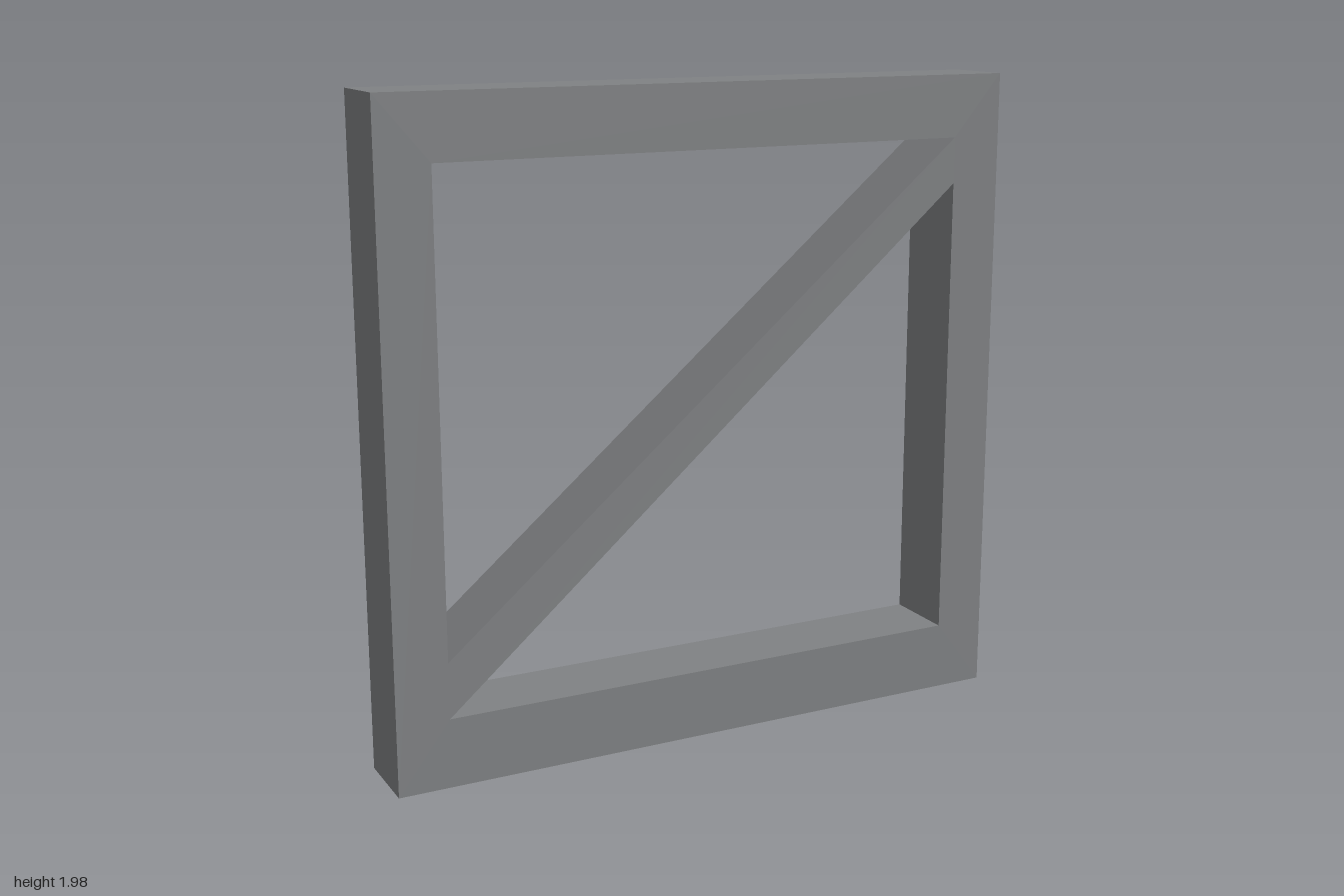
import * as THREE from 'three';

const polygon = (PathType, points) =>
  new PathType(points.map(([x, y]) => new THREE.Vector2(x, y)));

export function createModel() {
  const model = new THREE.Group();
  model.name = 'bracedFrame';

  const grey = new THREE.MeshStandardMaterial({ color: 0x808284 });
  grey.name = 'grey';

  const height = 1.98, depth = 0.23;
  const inner = 0.84, sill = 0.21, head = 1.79;

  // Rectangular frame; the two triangular openings leave a diagonal brace between them
  const outline = polygon(THREE.Shape, [[-1, 0], [1, 0], [1, height], [-1, height]]);
  outline.holes.push(
    polygon(THREE.Path, [[-inner, 0.38], [-inner, head], [inner, head]]),
    polygon(THREE.Path, [[-inner, sill], [inner, 1.65], [inner, sill]])
  );

  const geometry = new THREE.ExtrudeGeometry(outline, { depth, bevelEnabled: false });
  geometry.translate(0, 0, -depth / 2);

  const frame = new THREE.Mesh(geometry, grey);
  frame.name = 'frameWithDiagonalBrace';
  model.add(frame);
  return model;
}
